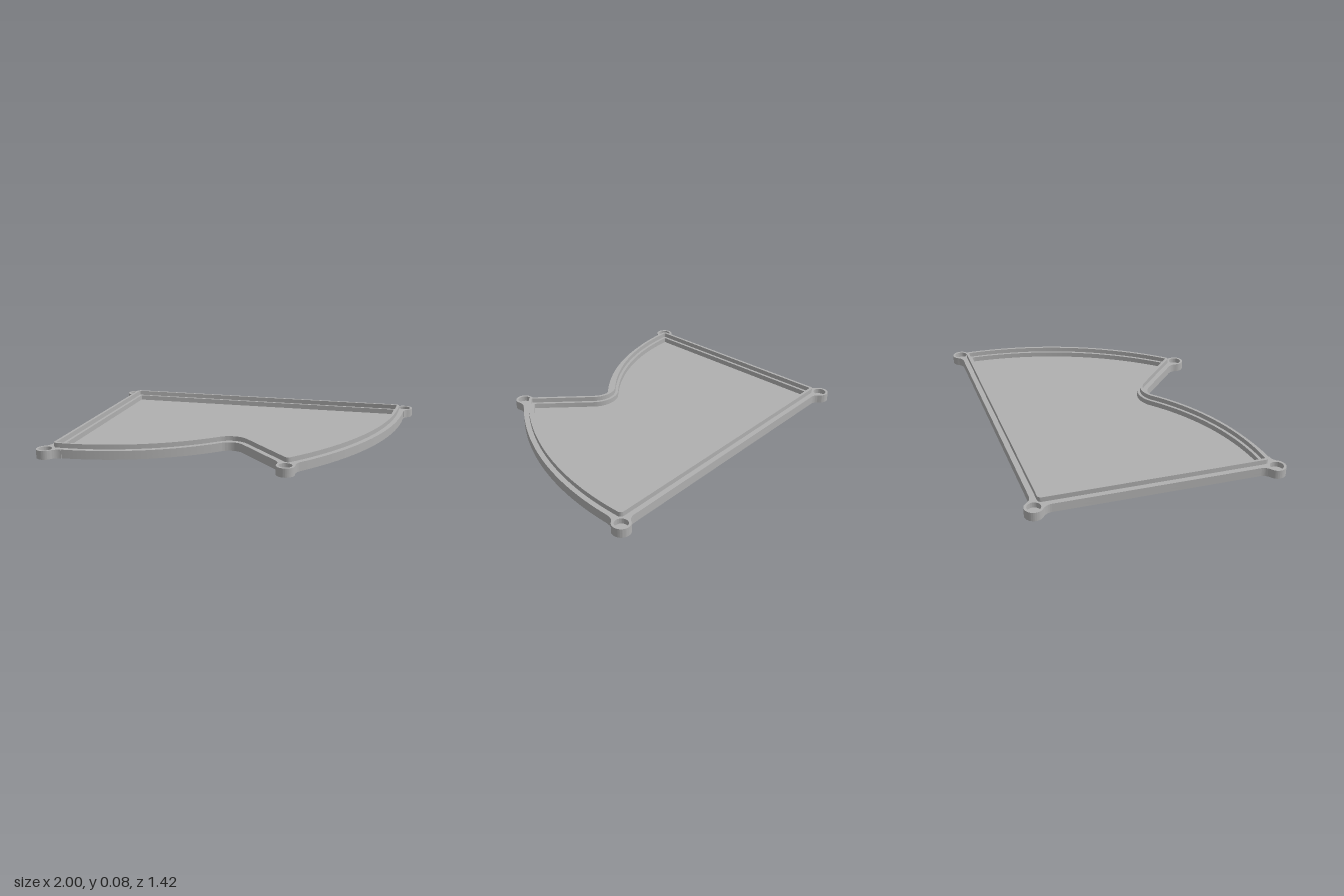
import * as THREE from 'three';
import { toCreasedNormals } from 'three/addons/utils/BufferGeometryUtils.js';

// Plan is a two-radius sector around one corner; plan coordinates are (x, z).
const O = new THREE.Vector2(-0.882, -0.662);
const R1 = 1.32, R2 = 1.83;                    // short and long sector radii
const A1 = THREE.MathUtils.degToRad(45.8);     // angle of the notch edge
const A2 = THREE.MathUtils.degToRad(92.9);     // angle of the left edge
const NOTCH = 0.09, BOSS = 0.051, WEB = 0.06;  // notch fillet, boss radius, boss fillet
const Q = Math.PI / 2;

const dir = (a, r = 1) => new THREE.Vector2(Math.cos(a) * r, Math.sin(a) * r);
const polar = (r, a) => dir(a, r).add(O);
const arc = (path, c, r, from, to, clockwise = false) => path.absarc(c.x, c.y, r, from, to, clockwise);

// Corner bosses: centre, incoming heading, outgoing heading
const corners = [
  [polar(R2, 0), 0, Q],
  [polar(R2, A1), A1 + Q, A1 + 2 * Q],
  [polar(R1, A2), A2 + Q, A2 + 2 * Q],
  [O, A2 + 2 * Q, 0],
];

// Concave fillet at the notch, grown by the inset d
function notchFillet(path, d) {
  const phi = A1 + Math.asin(NOTCH / (R1 + NOTCH));
  arc(path, polar(R1 + NOTCH, phi), NOTCH + d, A1 - Q, phi - 2 * Q, true);
  return phi;
}

// Outer outline with filleted round bosses on the four corners
function outerShape() {
  const shape = new THREE.Shape();
  const s = Math.sqrt((BOSS + WEB) ** 2 - WEB ** 2);
  const boss = ([c, h1, h2]) => {
    const n1 = h1 - Q, n2 = h2 - Q;
    const v1 = dir(h1, -s).add(dir(n1, WEB));
    const v2 = dir(h2, s).add(dir(n2, WEB));
    arc(shape, c.clone().add(v1), WEB, n1 + 2 * Q, v1.angle() + 2 * Q, true);
    arc(shape, c, BOSS, v1.angle(), v2.angle());
    arc(shape, c.clone().add(v2), WEB, v2.angle() + 2 * Q, n2 + 2 * Q, true);
  };
  boss(corners[0]);
  arc(shape, O, R2, s / R2, A1 - s / R2);
  boss(corners[1]);
  const phi = notchFillet(shape, 0);
  arc(shape, O, R1, phi, A2 - s / R1);
  boss(corners[2]);
  boss(corners[3]);
  shape.closePath();
  return shape;
}

// Plan inset by d, with corners rounded by r
function inset(path, d, r) {
  const k = d + r;
  const t1 = Math.asin(k / (R1 - k)), t2 = Math.asin(k / (R2 - k));
  arc(path, polar(R2 - k, t2), r, -Q, t2);
  arc(path, O, R2 - d, t2, A1 - t2);
  arc(path, polar(R2 - k, A1 - t2), r, A1 - t2, A1 + Q);
  const phi = notchFillet(path, d);
  arc(path, O, R1 - d, phi, A2 - t1);
  arc(path, polar(R1 - k, A2 - t1), r, A2 - t1, A2 + Q);
  arc(path, polar(k / Math.sin(A2 / 2), A2 / 2), r, A2 + Q, 3 * Q);
  path.closePath();
  return path;
}

export function createModel() {
  const group = new THREE.Group();
  const grey = new THREE.MeshStandardMaterial({ color: 0xb0b0b0 });
  grey.name = 'grey';

  const slab = (name, shape, bottom, top) => {
    const geo = new THREE.ExtrudeGeometry(shape, { depth: top - bottom, bevelEnabled: false, curveSegments: 32 });
    geo.rotateX(Q).translate(0, top, 0);
    const mesh = new THREE.Mesh(toCreasedNormals(geo, 0.5), grey);
    mesh.name = name;
    group.add(mesh);
  };

  // Solid floor
  slab('floor', outerShape(), 0, 0.02);

  // Wall around the tray, with a blind socket in each boss
  const wall = outerShape();
  wall.holes.push(inset(new THREE.Path(), 0.063, 0.004));
  for (const [c] of corners) wall.holes.push(arc(new THREE.Path(), c, 0.037, 0, 4 * Q));
  slab('wall', wall, 0.02, 0.05);

  // Thin raised lip on the wall
  const lip = inset(new THREE.Shape(), 0.03, 0.022);
  lip.holes.push(inset(new THREE.Path(), 0.046, 0.008));
  slab('lip', lip, 0.05, 0.077);

  return group;
}
